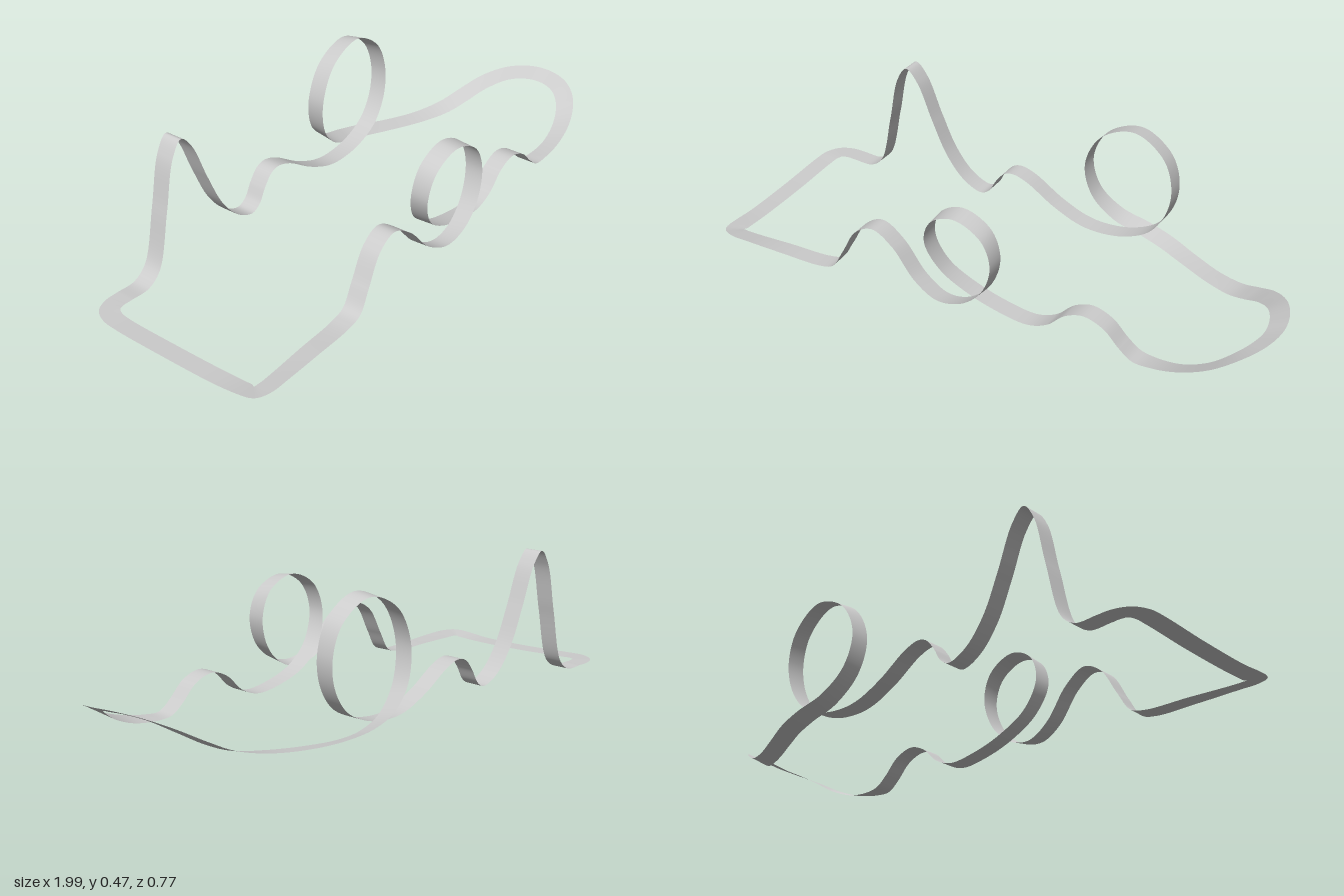
import * as THREE from 'three';

const HALF_WIDTH = 0.0325;
const STEPS = 1400;

// Control points of the closed circuit: x, y, z, heading of the outer edge in degrees, bank.
// Heading 0 points the outer edge to -z, 90 to +x, 180 to +z, 270 to -x.

// tall hill and small bump along the straight back side: x, y
const backHills = [
  [-0.86, 0.018], [-0.785, 0.02], [-0.735, 0.06], [-0.685, 0.25], [-0.645, 0.42], [-0.605, 0.474],
  [-0.56, 0.43], [-0.5, 0.29], [-0.44, 0.165], [-0.37, 0.085], [-0.3, 0.056], [-0.265, 0.075],
  [-0.235, 0.125], [-0.2, 0.165], [-0.165, 0.175], [-0.11, 0.16], [0, 0.095], [0.1, 0.055], [0.18, 0.048],
].map(([x, y]) => [x, y, -0.288, 0, 0]);

// large loop, drifting outwards
const backLoop = [
  [0.28, 0.066, -0.288, 0, 0], [0.37, 0.115, -0.29, 0, 0], [0.425, 0.2, -0.294, 0, -0.05],
  [0.438, 0.3, -0.299, 0, -0.1], [0.4, 0.4, -0.304, 0, -0.15], [0.29, 0.463, -0.31, 0, -0.15],
  [0.165, 0.41, -0.312, 0, -0.1], [0.106, 0.29, -0.314, 0, 0], [0.13, 0.165, -0.328, 0, 0.1],
  [0.21, 0.085, -0.345, 0, 0.25], [0.31, 0.052, -0.354, 4, 0.3], [0.4, 0.037, -0.338, 15, 0.25],
];

// rising banked turn at the right-hand end
const wideTurn = [
  [0.5, 0.029, -0.298, 25, 0.15], [0.62, 0.031, -0.242, 25, 0.15], [0.72, 0.048, -0.196, 27, 0.3],
  [0.79, 0.08, -0.16, 32, 0.45], [0.86, 0.122, -0.113, 42, 0.5], [0.92, 0.156, -0.045, 58, 0.45],
  [0.955, 0.168, 0.03, 75, 0.45], [0.964, 0.165, 0.1, 92, 0.45], [0.945, 0.153, 0.165, 118, 0.4],
  [0.9, 0.127, 0.217, 142, 0.35], [0.83, 0.085, 0.251, 162, 0.3], [0.74, 0.05, 0.267, 174, 0.25],
  [0.65, 0.034, 0.268, 180, 0.12],
];

// small hill and loop along the front, then the last hill
const frontRun = [
  [0.59, 0.036, 0.265, 180, 0], [0.545, 0.068, 0.265, 180, 0], [0.49, 0.12, 0.265, 180, 0],
  [0.42, 0.142, 0.265, 180, 0], [0.355, 0.118, 0.265, 180, 0], [0.29, 0.058, 0.265, 180, 0],
  [0.22, 0.03, 0.265, 180, 0], [0.12, 0.038, 0.266, 180, 0], [0, 0.075, 0.272, 178, 0],
  [-0.095, 0.145, 0.29, 176, 0], [-0.137, 0.25, 0.31, 180, -0.05], [-0.105, 0.345, 0.32, 180, -0.1],
  [-0.01, 0.392, 0.328, 180, -0.12], [0.09, 0.35, 0.333, 180, -0.1], [0.125, 0.26, 0.337, 180, 0],
  [0.095, 0.155, 0.344, 180, 0.1], [0.02, 0.085, 0.35, 180, 0.18], [-0.07, 0.064, 0.348, 184, 0.15],
  [-0.16, 0.102, 0.337, 184, 0.1], [-0.25, 0.198, 0.328, 182, 0.05], [-0.33, 0.24, 0.324, 180, 0],
  [-0.4, 0.205, 0.325, 180, 0], [-0.46, 0.105, 0.327, 178, 0], [-0.505, 0.035, 0.33, 177, 0],
  [-0.56, 0.018, 0.332, 177, 0], [-0.72, 0.016, 0.34, 177, 0.05], [-0.86, 0.015, 0.347, 178, 0.15],
];

// tight front corner, left-hand straight and rounded back corner
const stationEnd = [
  [-0.92, 0.014, 0.347, 190, 0.15], [-0.952, 0.012, 0.335, 225, 0.15], [-0.957, 0.009, 0.295, 265, 0.1],
  [-0.958, 0.004, 0.2, 269, 0.03], [-0.96, 0.006, 0, 269, 0.03], [-0.962, 0.014, -0.19, 270, 0.03],
  [-0.957, 0.017, -0.238, 285, 0.02], [-0.938, 0.018, -0.272, 315, 0], [-0.903, 0.018, -0.287, 345, 0],
];

// Closed ribbon swept along the circuit, its edges offset by the interpolated side direction
function ribbonGeometry(points) {
  const path = new THREE.CatmullRomCurve3(
    points.map(([x, y, z]) => new THREE.Vector3(x, y, z)), true, 'centripetal');
  const sides = new THREE.CatmullRomCurve3(points.map(([, , , heading, bank]) => {
    const a = THREE.MathUtils.degToRad(heading);
    return new THREE.Vector3(Math.sin(a), bank, -Math.cos(a)).normalize();
  }), true, 'catmullrom', 0.5);

  const positions = [], index = [];
  for (let i = 0; i < STEPS; i++) {
    const p = path.getPoint(i / STEPS);
    const side = sides.getPoint(i / STEPS).normalize().multiplyScalar(HALF_WIDTH);
    positions.push(...p.clone().add(side).toArray(), ...p.sub(side).toArray());
    const a = i * 2, b = ((i + 1) % STEPS) * 2;
    index.push(a + 1, b + 1, b, a + 1, b, a);
  }
  const geometry = new THREE.BufferGeometry();
  geometry.setAttribute('position', new THREE.Float32BufferAttribute(positions, 3));
  geometry.setIndex(index);
  geometry.computeVertexNormals();
  return geometry;
}

export function createModel() {
  const group = new THREE.Group();
  group.name = 'rollerCoaster';
  const circuit = [...backHills, ...backLoop, ...wideTurn, ...frontRun, ...stationEnd];
  const material = new THREE.MeshStandardMaterial({ color: 0xcccccc, side: THREE.DoubleSide });
  const track = new THREE.Mesh(ribbonGeometry(circuit), material);
  track.name = 'track';
  group.add(track);
  return group;
}
